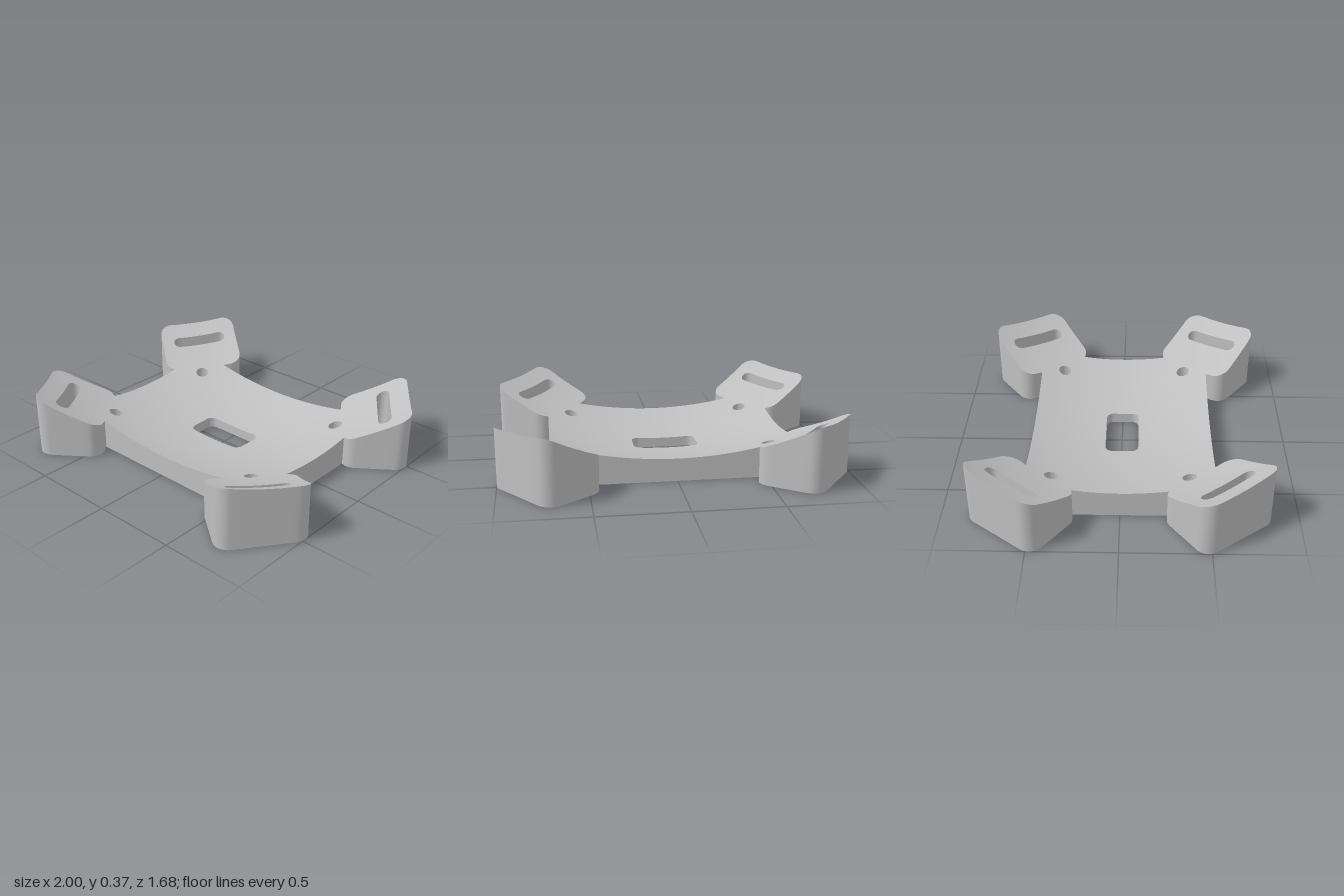
import * as THREE from 'three';
import { toCreasedNormals } from 'three/addons/utils/BufferGeometryUtils.js';

const MAX_EDGE = 0.06;
const V = (x, z) => new THREE.Vector2(x, z); // plan point (x, z)

// dished top: height and normal over the plan
const bowl = (x, z) => 0.2 * x * x + 0.26 * z * z;
const height = (x, z) => { const s = bowl(x, z); return 0.055 + s + 0.3 * s * s; };
function topNormal(x, z) {
  const k = 1 + 0.6 * bowl(x, z);
  return new THREE.Vector3(-0.4 * x * k, 1, -0.52 * z * k).normalize();
}

function arc(cx, cz, r, fromDeg, toDeg, n) {
  return Array.from({ length: n + 1 }, (_, i) => {
    const a = THREE.MathUtils.degToRad(fromDeg + (toDeg - fromDeg) * i / n);
    return V(cx + r * Math.cos(a), cz + r * Math.sin(a));
  });
}

// plate outline: one corner with its angled strap pad, mirrored to all four
function makeOutline() {
  const tilt = 36.87, r = 0.08;
  const corner = [
    ...arc(0.736, 0.342, r, -116.7, tilt - 90, 8),
    ...arc(0.92, 0.48, r, tilt - 90, tilt, 9),
    ...arc(0.71, 0.76, r, tilt, tilt + 90, 9),
    ...arc(0.526, 0.622, r, tilt + 90, tilt + 180, 9),
    V(0.49, 0.537),
  ];
  const mirror = (sx, sz) => {
    const pts = corner.map(p => V(p.x * sx, p.y * sz));
    return sx * sz < 0 ? pts.reverse() : pts;
  };
  return [...mirror(1, 1), ...mirror(-1, 1), ...mirror(-1, -1), ...mirror(1, -1)];
}

// strap slots, screw holes and the central window
function makeHoles() {
  const holes = [];
  for (const sx of [1, -1]) for (const sz of [1, -1]) {
    const slot = [...arc(0.845, 0.47, 0.037, -143.13, 36.87, 12), ...arc(0.68, 0.697, 0.037, 36.87, 216.87, 12)];
    const screw = arc(0.553, 0.39, 0.04, 0, 360, 28).slice(0, -1);
    for (const h of [slot, screw]) holes.push(h.map(p => V(p.x * sx, p.y * sz)));
  }
  const c = 0.045, w = 0.195 - c, d = 0.1 - c;
  holes.push([
    ...arc(w, d, c, 0, 90, 8), ...arc(-w, d, c, 90, 180, 8),
    ...arc(-w, -d, c, 180, 270, 8), ...arc(w, -d, c, 270, 360, 8),
  ]);
  // opposite winding to the outline
  return holes.map(h => (THREE.ShapeUtils.area(h) > 0 ? h.reverse() : h));
}

// halve the longest edge until the triangle is small
function splitTriangle(a, b, c, emit) {
  const ab = a.distanceTo(b), bc = b.distanceTo(c), ca = c.distanceTo(a);
  const longest = Math.max(ab, bc, ca);
  if (longest <= MAX_EDGE) return emit(a, b, c);
  if (longest === bc) [a, b, c] = [b, c, a];
  else if (longest === ca) [a, b, c] = [c, a, b];
  const m = a.clone().add(b).multiplyScalar(0.5);
  splitTriangle(a, m, c, emit);
  splitTriangle(m, b, c, emit);
}

function splitEdge(a, b, emit) {
  if (a.distanceTo(b) <= MAX_EDGE) return emit(a, b);
  const m = a.clone().add(b).multiplyScalar(0.5);
  splitEdge(a, m, emit);
  splitEdge(m, b, emit);
}

function toGeometry(positions, normals) {
  const g = new THREE.BufferGeometry();
  g.setAttribute('position', new THREE.Float32BufferAttribute(positions, 3));
  if (normals) g.setAttribute('normal', new THREE.Float32BufferAttribute(normals, 3));
  return g;
}

export function createModel() {
  const group = new THREE.Group();
  group.name = 'mountingPlate';
  const grey = new THREE.MeshStandardMaterial({ color: 0xc0c0c0 });
  grey.name = 'light grey';

  const outline = makeOutline();
  const holes = makeHoles();
  const points = [outline, ...holes].flat();
  const faces = THREE.ShapeUtils.triangulateShape(outline, holes);

  const top = [], topN = [], base = [], baseN = [], walls = [];
  for (const face of faces) {
    let [a, b, c] = face.map(i => points[i]);
    if (THREE.ShapeUtils.area([a, b, c]) < 0) [b, c] = [c, b];
    // flat underside
    for (const p of [a, b, c]) {
      base.push(p.x, 0, p.y);
      baseN.push(0, -1, 0);
    }
    // curved top, wound to face up
    splitTriangle(a, b, c, (p, q, r) => {
      for (const v of [p, r, q]) {
        top.push(v.x, height(v.x, v.y), v.y);
        topN.push(...topNormal(v.x, v.y).toArray());
      }
    });
  }

  // upright walls round the outline and inside every opening
  for (const loop of [outline, ...holes]) {
    loop.forEach((p, i) => {
      const next = loop[(i + 1) % loop.length];
      if (p.distanceTo(next) < 1e-6) return;
      splitEdge(p, next, (a, b) => {
        const ha = height(a.x, a.y), hb = height(b.x, b.y);
        walls.push(a.x, 0, a.y, a.x, ha, a.y, b.x, 0, b.y);
        walls.push(b.x, 0, b.y, a.x, ha, a.y, b.x, hb, b.y);
      });
    });
  }

  const parts = {
    dishedTop: toGeometry(top, topN),
    underside: toGeometry(base, baseN),
    sideWalls: toCreasedNormals(toGeometry(walls), 0.6),
  };
  for (const [name, geometry] of Object.entries(parts)) {
    const mesh = new THREE.Mesh(geometry, grey);
    mesh.name = name;
    group.add(mesh);
  }
  return group;
}
